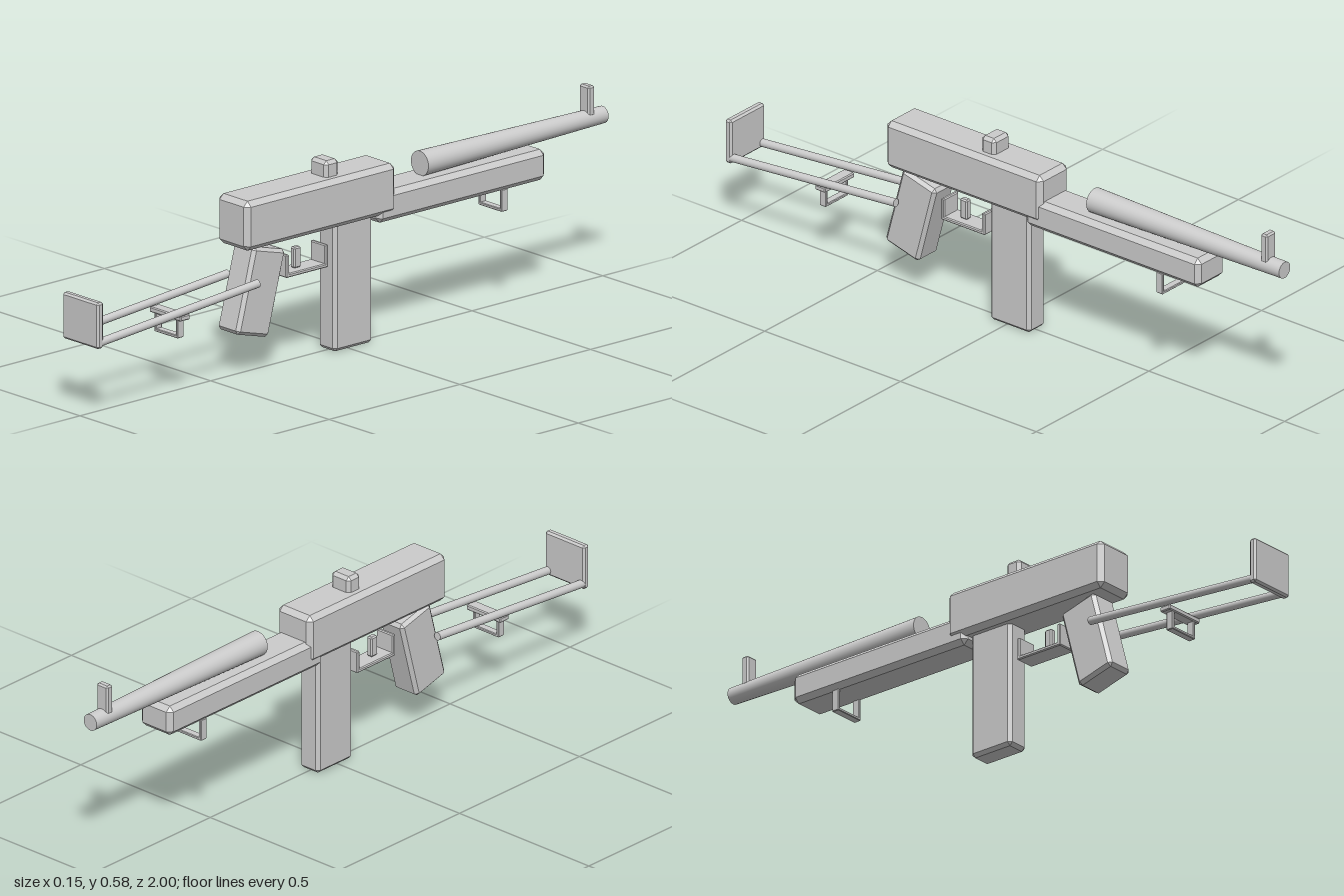
import * as THREE from 'three';
import { ConvexGeometry } from 'three/addons/geometries/ConvexGeometry.js';

const material = new THREE.MeshStandardMaterial({ color: 0xcccccc });

// Box with chamfered edges: three corner points at each of the eight corners
function chamferBox(w, h, d, c) {
  const points = [];
  for (const sx of [-1, 1]) for (const sy of [-1, 1]) for (const sz of [-1, 1]) {
    for (let face = 0; face < 3; face++) {
      const inset = [c, c, c];
      inset[face] = 0;
      points.push(new THREE.Vector3(
        sx * (w / 2 - inset[0]), sy * (h / 2 - inset[1]), sz * (d / 2 - inset[2])));
    }
  }
  return new ConvexGeometry(points);
}

// Chamfered box centred on x, given by its width and its y and z ranges
function block(parent, name, w, [y0, y1], [z0, z1], c, x = 0) {
  const mesh = new THREE.Mesh(chamferBox(w, y1 - y0, z1 - z0, c), material);
  mesh.name = name;
  mesh.position.set(x, (y0 + y1) / 2, (z0 + z1) / 2);
  parent.add(mesh);
  return mesh;
}

// Cylinder between two points, with a radius at each end
function rod(parent, name, from, to, r0, r1, sides = 32) {
  const a = new THREE.Vector3(...from), b = new THREE.Vector3(...to);
  const dir = b.clone().sub(a);
  const mesh = new THREE.Mesh(new THREE.CylinderGeometry(r1, r0, dir.length(), sides), material);
  mesh.name = name;
  mesh.position.copy(a).add(b).multiplyScalar(0.5);
  mesh.quaternion.setFromUnitVectors(new THREE.Vector3(0, 1, 0), dir.normalize());
  parent.add(mesh);
}

// U-shaped strap loop hanging below a part
function strapLoop(parent, name, top, z) {
  const loop = new THREE.Group();
  loop.name = name;
  const zr = [z - 0.012, z + 0.012], bottom = top - 0.066;
  for (const side of [-1, 1]) {
    block(loop, 'loopSide', 0.009, [bottom, top], zr, 0.002, side * 0.0455);
  }
  block(loop, 'loopBar', 0.1, [bottom, bottom + 0.009], zr, 0.002);
  parent.add(loop);
}

export function createModel() {
  const model = new THREE.Group();
  model.name = 'submachineGun';

  // Body
  block(model, 'receiver', 0.132, [0.378, 0.525], [-0.155, 0.42], 0.015);
  block(model, 'handguard', 0.122, [0.354, 0.445], [-0.733, -0.09], 0.015);
  block(model, 'magazine', 0.073, [0, 0.4], [-0.09, 0.058], 0.01);
  const grip = block(model, 'grip', 0.091, [0.112, 0.368], [0.28, 0.408], 0.01);
  grip.rotation.x = -THREE.MathUtils.degToRad(15);

  // Barrel and sights
  rod(model, 'barrel', [0, 0.479, -0.3], [0, 0.479, -1], 0.037, 0.025);
  block(model, 'frontSight', 0.042, [0.49, 0.58], [-0.952, -0.928], 0.005);
  block(model, 'rearSight', 0.072, [0.515, 0.572], [0.039, 0.091], 0.01);

  // Trigger guard: bent strip with two upright ends
  const guard = new THREE.Group();
  guard.name = 'triggerGuard';
  block(guard, 'guardBottom', 0.064, [0.257, 0.269], [0.078, 0.239], 0.003);
  block(guard, 'guardFront', 0.064, [0.257, 0.325], [0.078, 0.09], 0.003);
  block(guard, 'guardRear', 0.064, [0.257, 0.325], [0.227, 0.239], 0.003);
  model.add(guard);
  block(model, 'trigger', 0.02, [0.27, 0.332], [0.162, 0.188], 0.004);

  // Skeleton stock
  const stock = new THREE.Group();
  stock.name = 'stock';
  for (const side of [-1, 1]) {
    rod(stock, 'stockRod', [side * 0.064, 0.278, 0.378], [side * 0.064, 0.228, 0.99], 0.012, 0.012);
  }
  block(stock, 'buttPlate', 0.152, [0.213, 0.35], [0.976, 1], 0.006);
  block(stock, 'crossBar', 0.132, [0.226, 0.242], [0.638, 0.675], 0.003);
  model.add(stock);

  // Strap loops
  strapLoop(model, 'stockStrapLoop', 0.238, 0.66);
  strapLoop(model, 'handguardStrapLoop', 0.356, -0.58);

  return model;
}
